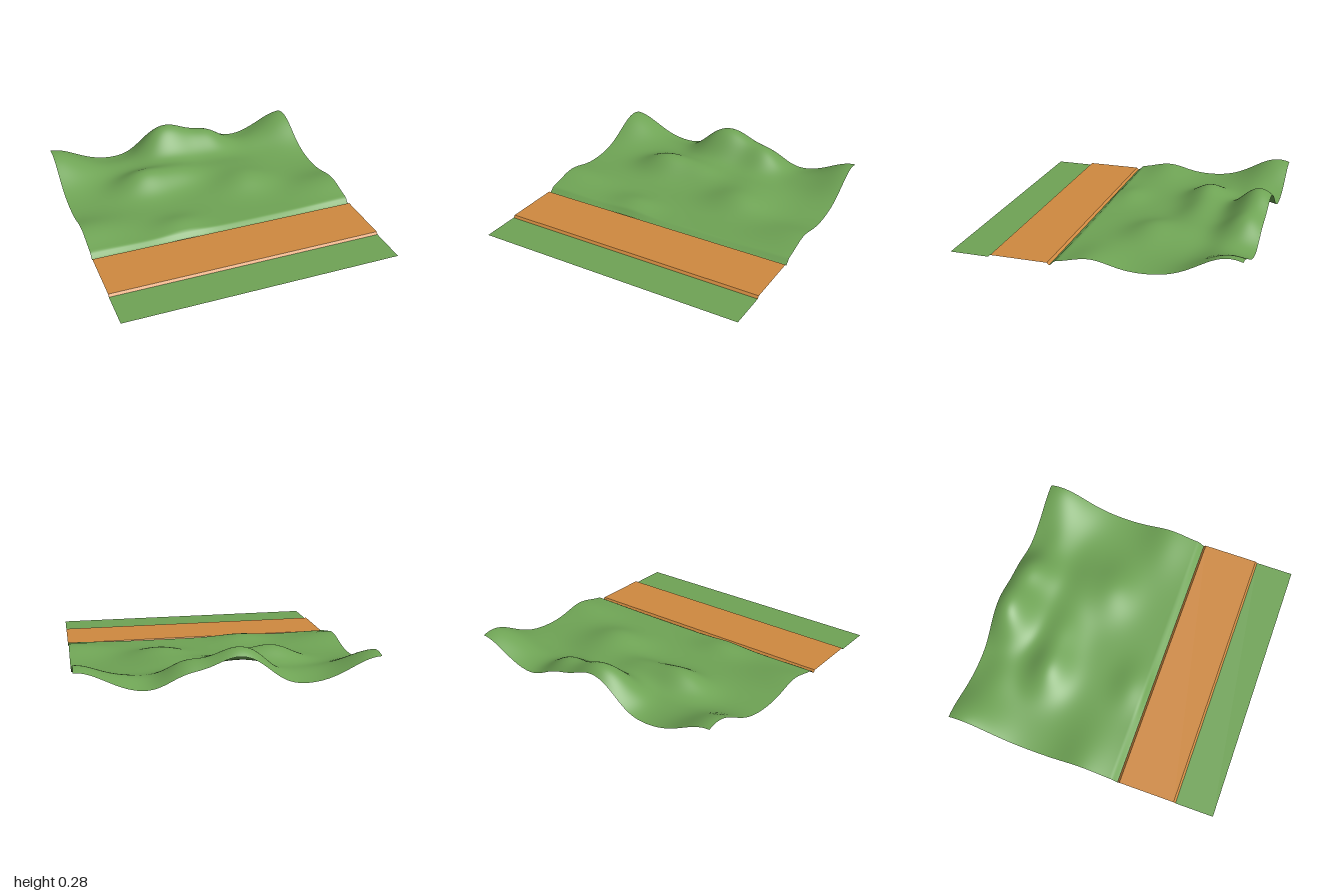
import * as THREE from 'three';

const green = new THREE.MeshStandardMaterial({ color: 0x6fa455, side: THREE.DoubleSide });
const orange = new THREE.MeshStandardMaterial({ color: 0xd08a40, side: THREE.DoubleSide });

// Hills as smooth bumps: x, z, height, spread in x, spread in z
const hills = [
  [-0.03, -0.92, 0.24, 0.17, 0.15], // main peak and its shoulders
  [0.3, -0.88, 0.13, 0.12, 0.13],
  [-0.2, -0.88, 0.05, 0.1, 0.13],
  [-1, -0.92, 0.185, 0.2, 0.2], // matching hills on both side edges
  [1, -0.92, 0.185, 0.2, 0.2],
  [-1, 0, 0.055, 0.24, 0.13],
  [1, 0, 0.055, 0.24, 0.13],
  [-0.5, -0.8, 0.035, 0.2, 0.1], // saddles between the back hills
  [0.6, -0.8, 0.035, 0.15, 0.1],
  [-0.4, -0.48, 0.118, 0.15, 0.12], // middle ridge
  [-0.1, -0.5, 0.07, 0.15, 0.11],
  [0.3, -0.5, 0.045, 0.2, 0.12],
  [0.37, -0.25, 0.075, 0.17, 0.13], // near knolls
  [-0.3, 0.13, 0.035, 0.13, 0.09],
];

function height(x, z) {
  let y = 0.025;
  for (const [hx, hz, h, sx, sz] of hills) {
    y += h * Math.exp(-(((x - hx) / sx) ** 2 + ((z - hz) / sz) ** 2) / 2);
  }
  // falls to the ground at the roadside
  return y * (1 - THREE.MathUtils.smoothstep(z, 0.235, 0.28));
}

// Flat strip across the full width, from z0 (back) to z1 (front)
function strip(name, material, z0, y0, z1, y1) {
  const geometry = new THREE.PlaneGeometry(2, Math.hypot(z1 - z0, y1 - y0));
  geometry.rotateX(-Math.PI / 2 + Math.atan2(y0 - y1, z1 - z0));
  geometry.translate(0, (y0 + y1) / 2, (z0 + z1) / 2);
  const mesh = new THREE.Mesh(geometry, material);
  mesh.name = name;
  return mesh;
}

export function createModel() {
  const model = new THREE.Group();
  model.name = 'landscape';

  // Rolling hills
  const geometry = new THREE.PlaneGeometry(2, 1.28, 100, 80);
  geometry.rotateX(-Math.PI / 2).translate(0, 0, -0.36);
  const p = geometry.attributes.position;
  for (let i = 0; i < p.count; i++) p.setY(i, height(p.getX(i), p.getZ(i)));
  geometry.computeVertexNormals();
  const terrain = new THREE.Mesh(geometry, green);
  terrain.name = 'hills';
  model.add(terrain);

  // Raised road with bevelled edges
  const road = new THREE.Group();
  road.name = 'road';
  road.add(
    strip('roadBackEdge', orange, 0.28, 0, 0.295, 0.015),
    strip('roadSurface', orange, 0.295, 0.015, 0.705, 0.015),
    strip('roadFrontEdge', orange, 0.705, 0.015, 0.72, 0),
  );
  model.add(road);

  // Grass verge in front of the road
  model.add(strip('frontVerge', green, 0.72, 0, 1, 0));
  return model;
}
